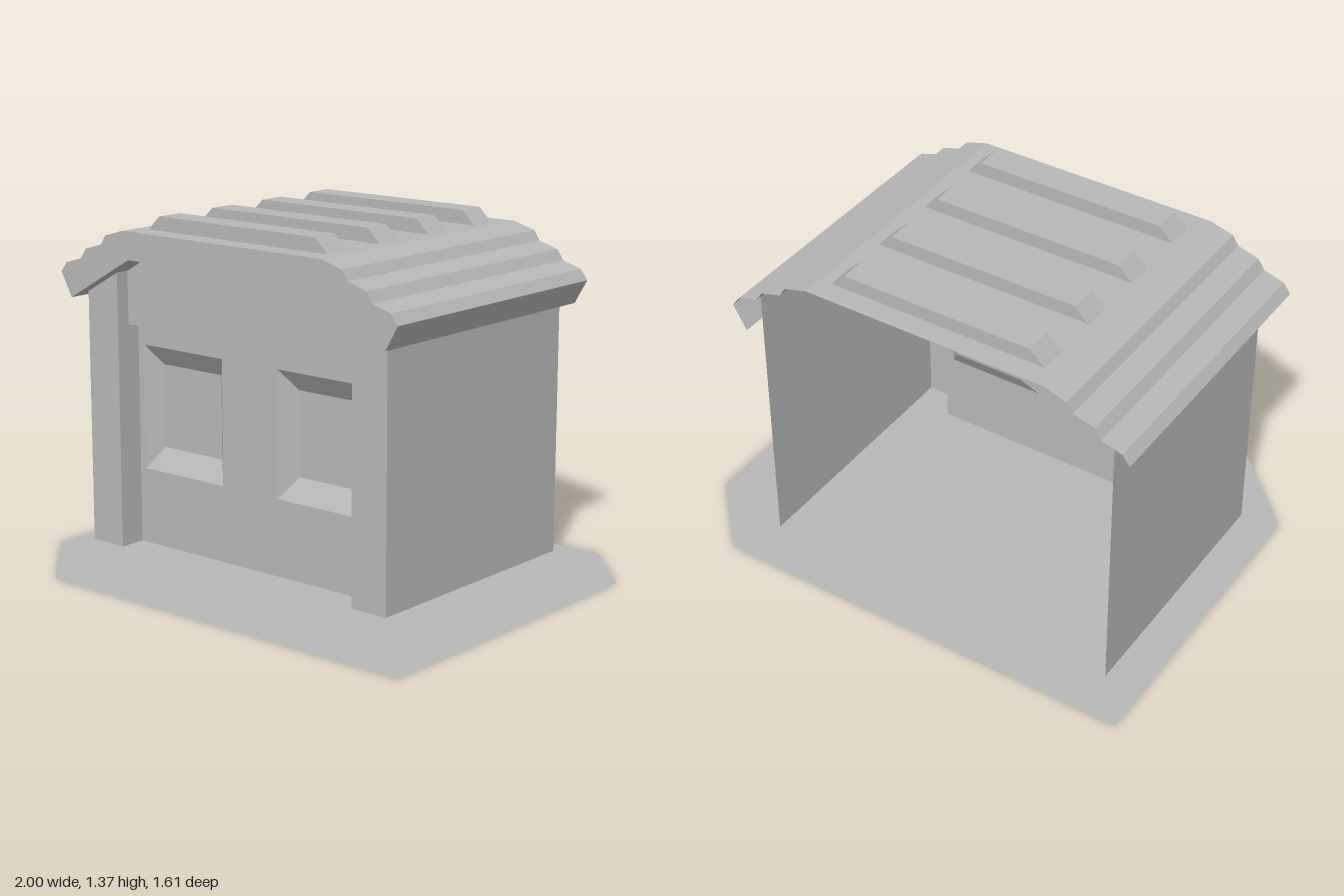
import * as THREE from 'three';

export function createModel() {
  const model = new THREE.Group();
  const grey = new THREE.MeshStandardMaterial({ color: 0xb8b8b8, side: THREE.DoubleSide });
  grey.name = 'plainGrey';

  const add = (name, geometry, parent = model) => {
    const mesh = new THREE.Mesh(geometry, grey);
    mesh.name = name;
    parent.add(mesh);
    return mesh;
  };
  const shapeOf = pts => new THREE.Shape(pts.map(p => new THREE.Vector2(...p)));

  // Flat upright panel at depth z, with optional holes
  const panel = (name, pts, z, holes = []) => {
    const shape = shapeOf(pts);
    holes.forEach(h => shape.holes.push(new THREE.Path(h.map(p => new THREE.Vector2(...p)))));
    return add(name, new THREE.ShapeGeometry(shape).translate(0, 0, z));
  };

  // Faceted sheet between two matching rows of 3D points
  const sheet = (name, a, b, parent) => {
    const pos = [];
    for (let i = 0; i < a.length - 1; i++) {
      pos.push(...b[i], ...b[i + 1], ...a[i + 1], ...b[i], ...a[i + 1], ...a[i]);
    }
    const g = new THREE.BufferGeometry();
    g.setAttribute('position', new THREE.Float32BufferAttribute(pos, 3));
    g.computeVertexNormals();
    return add(name, g, parent);
  };
  const atZ = (pts, z) => pts.map(([x, y]) => [x, y, z]);
  const sweep = (name, pts, z0, z1) => sheet(name, atZ(pts, z0), atZ(pts, z1));
  const rect = (x0, x1, y0, y1) => [[x0, y0], [x1, y0], [x1, y1], [x0, y1]];

  // Building is symmetric about this x
  const cx = -0.1125;
  const mirror = pts => pts.map(([x, y]) => [2 * cx - x, y]).reverse();

  // Ground plate with two cut corners
  const ground = shapeOf([[-1, 0.805], [0.74, 0.805], [1, 0.53], [1, -0.805], [-0.67, -0.805], [-1, -0.47]]);
  add('groundPlate', new THREE.ShapeGeometry(ground).rotateX(-Math.PI / 2));

  // Side walls and the L-shaped front pillars
  const base = 0.03, front = 0.415, wallZ = 0.305, headZ = 0.358;
  const pillar = [[-0.86, base], [-0.7, base], [-0.7, 1.135], [-0.86, 1.045]];
  [['right', p => p], ['left', mirror]].forEach(([side, place]) => {
    sweep(side + 'Wall', place([[-0.86, base], [-0.86, 1.17]]), -0.64, front);
    panel(side + 'Pillar', place(pillar), front);
    sweep(side + 'PillarReturn', place([[-0.7, base], [-0.7, 1.135]]), wallZ, front);
  });

  // Front wall with two bevelled window recesses
  const windows = [
    { name: 'rightWindow', outer: rect(-0.67, -0.255, 0.335, 0.835), inner: rect(-0.615, -0.31, 0.42, 0.755) },
    { name: 'leftWindow', outer: rect(0.025, 0.44, 0.335, 0.835), inner: rect(0.085, 0.385, 0.42, 0.755) },
  ];
  panel('frontWall', rect(-0.7, 0.475, base, 0.92), wallZ, windows.map(w => w.outer));
  windows.forEach(({ name, outer, inner }) => {
    const loop = pts => [...pts, pts[0]];
    sheet(name + 'Reveal', atZ(loop(inner), 0.25), atZ(loop(outer), wallZ));
    panel(name + 'Pane', inner, 0.25);
  });

  // Header above the windows
  panel('header', [[-0.7, 0.92], [0.475, 0.92], [0.475, 1.135], [0.355, 1.2], [-0.58, 1.2], [-0.7, 1.135]], headZ);
  sweep('headerUnderside', [[-0.7, 0.92], [0.475, 0.92]], wallZ, headZ);

  // Stepped roof sheet, front fascia and its soffit
  const steps = [[-0.895, 1.02], [-0.95, 1.115], [-0.92, 1.155], [-0.837, 1.18], [-0.81, 1.22],
    [-0.725, 1.245], [-0.7, 1.283], [-0.607, 1.31]];
  const outline = [...steps, ...mirror(steps)];
  const gable = [[-0.895, 1.02], [-0.58, 1.2], [0.355, 1.2], [0.67, 1.02]];
  sweep('roofSheet', outline, 0.472, -0.692);
  panel('roofFascia', [...outline, gable[2], gable[1]], 0.472);
  sweep('fasciaSoffit', gable, headZ, 0.472);

  // Raised ribs across the roof top
  const ribs = new THREE.Group();
  ribs.name = 'roofRibs';
  model.add(ribs);
  const rib = shapeOf([[-0.56, 1.308], [0.334, 1.308], [0.275, 1.365], [-0.5, 1.365]]);
  [-0.605, -0.315, -0.023, 0.27].forEach(z => {
    add('roofRib', new THREE.ExtrudeGeometry(rib, { depth: 0.11, bevelEnabled: false }).translate(0, 0, z), ribs);
  });

  return model;
}
